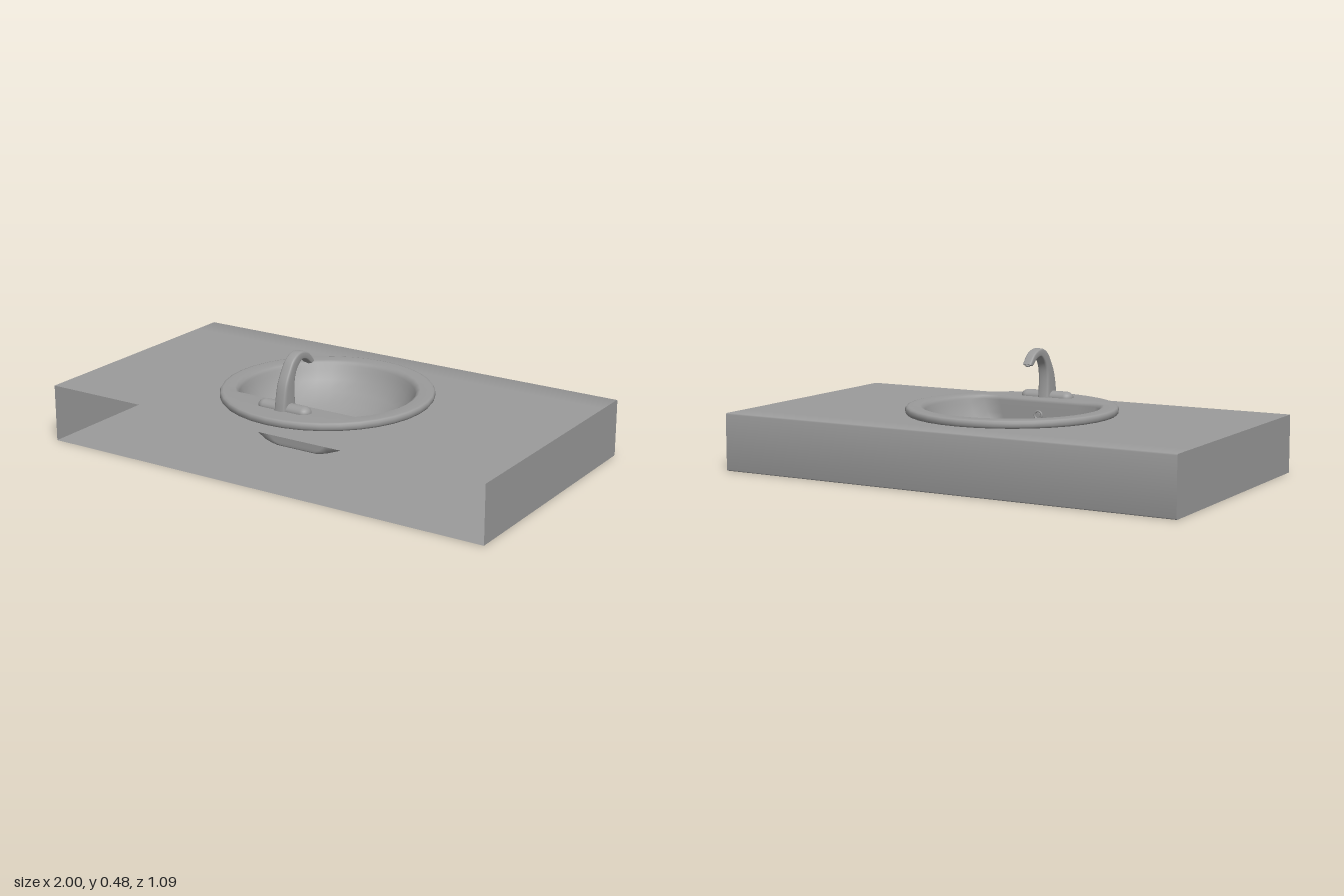
import * as THREE from 'three';

const TOP = 0.237, RIM = 0.268;      // counter height, rim height
const CZ = 0.039, R = 0.433;         // basin centre and outer radius
const CUT = 0.226;                   // straight bowl wall, measured from the centre
const DRAIN_Z = 0.145;
const SEG = 36;

const mat = new THREE.MeshStandardMaterial({ color: 0x9b9b9b, side: THREE.DoubleSide });

function add(parent, name, geometry, x = 0, y = 0, z = 0) {
  const mesh = new THREE.Mesh(geometry, mat);
  mesh.name = name;
  mesh.position.set(x, y, z);
  parent.add(mesh);
  return mesh;
}

// Smooth skin over closed loops of equal length
function loft(loops) {
  const n = loops[0].length, index = [];
  for (let j = 0; j < loops.length - 1; j++) {
    for (let i = 0; i < n; i++) {
      const a = j * n + i, b = j * n + (i + 1) % n;
      index.push(a, a + n, b, b, a + n, b + n);
    }
  }
  const g = new THREE.BufferGeometry().setFromPoints(loops.flat());
  g.setIndex(index);
  g.computeVertexNormals();
  return g;
}

// Circle around the basin centre, optionally cut straight near the tap
function ring(radius, y, cut = Infinity) {
  return Array.from({ length: SEG }, (_, i) => {
    const t = i / SEG * Math.PI * 2;
    const s = Math.sin(t);
    const r = s > 0 ? Math.min(radius, cut / s) : radius;
    return new THREE.Vector3(Math.cos(t) * r, y, CZ + s * r);
  });
}

// Bowl opening shrunk towards the drain; the straight wall has its own scale
function bowlLoop(scale, wallScale, y) {
  return ring(0.36, y, CUT).map(p => {
    const dz = p.z - DRAIN_Z;
    return new THREE.Vector3(p.x * scale, y, DRAIN_Z + dz * (dz > 0 ? wallScale : scale));
  });
}

// Thin cabinet shell, open at the front
function buildCounter() {
  const counter = new THREE.Group();
  counter.name = 'counter';
  const b = 0.005, D = 0.547, S = 0.42;

  const slab = new THREE.Shape([[-1, -D], [1, -D], [1, S], [-1, S]]
    .map(p => new THREE.Vector2(...p)));
  slab.holes.push(new THREE.Path().absarc(0, -CZ, 0.39, 0, Math.PI * 2, true));
  add(counter, 'countertop', new THREE.ShapeGeometry(slab, 18).rotateX(-Math.PI / 2), 0, TOP, 0);
  add(counter, 'bottomPanel', new THREE.PlaneGeometry(2, D + S).rotateX(Math.PI / 2), 0, 0, (D - S) / 2);

  // Back panel wrapping softly onto top and bottom: z, y, then normal y and z
  const profile = [
    [-S, TOP, 1, 0], [-D + b, TOP, 0.95, -0.31], [-D, TOP - b, 0.15, -0.99],
    [-D, b, -0.15, -0.99], [-D + b, 0, -0.95, -0.31], [-S, 0, -1, 0],
  ];
  const back = new THREE.PlaneGeometry(2, 1, 1, profile.length - 1).rotateY(Math.PI);
  const { position, normal } = back.attributes;
  for (let i = 0; i < position.count; i++) {
    const [z, y, ny, nz] = profile[Math.floor(i / 2)];
    position.setXYZ(i, position.getX(i), y, z);
    normal.setXYZ(i, 0, ny, nz);
  }
  add(counter, 'backPanel', back);

  const side = new THREE.Shape([[-D, 0], [D - b, 0], [D, b], [D, TOP - b], [D - b, TOP], [-D, TOP]]
    .map(p => new THREE.Vector2(...p)));
  for (const s of [1, -1]) {
    const panel = add(counter, s > 0 ? 'leftPanel' : 'rightPanel',
      new THREE.ShapeGeometry(side).rotateY(Math.PI / 2), s);
    if (s < 0) {
      panel.geometry.index.array.reverse();
      panel.geometry.computeVertexNormals();
    }
  }
  return counter;
}

function buildBasin() {
  const basin = new THREE.Group();
  basin.name = 'basin';
  const rimLoops = [[0.39, TOP], [R - 0.006, TOP], [R, TOP + 0.008], [R, RIM - 0.01],
    [R - 0.005, RIM - 0.002], [R - 0.014, RIM]].map(([r, y]) => ring(r, y));
  const bowlLoops = [[1, 1, 0.262], [0.985, 0.997, 0.25], [0.965, 0.995, 0.232], [0.92, 0.99, 0.195],
    [0.84, 0.99, 0.155], [0.71, 0.985, 0.115], [0.55, 0.98, 0.088], [0.43, 0.975, 0.078],
    [0.34, 0.96, 0.073], [0.3, 0.85, 0.072], [0, 0, 0.072]].map(p => bowlLoop(...p));
  add(basin, 'rimAndBowl', loft([...rimLoops, ring(0.372, RIM, CUT + 0.01), ...bowlLoops]));

  // Drain collar with a raised stopper
  const flange = [[0.024, 0.002], [0.026, 0.009], [0.033, 0.01], [0.039, 0.006], [0.04, 0]];
  const plug = [[0.012, 0], [0.012, 0.012], [0.026, 0.014], [0.026, 0.018], [0.016, 0.022], [0, 0.023]];
  for (const [name, pts] of [['drainCollar', flange], ['drainStopper', plug]]) {
    add(basin, name, new THREE.LatheGeometry(pts.map(p => new THREE.Vector2(...p)), 20), 0, 0.073, DRAIN_Z);
  }

  // Overflow opening in the straight wall
  add(basin, 'overflowRing', new THREE.TorusGeometry(0.017, 0.004, 8, 18), 0, 0.198, 0.26);
  add(basin, 'overflowCap', new THREE.CylinderGeometry(0.009, 0.009, 0.004, 14).rotateX(Math.PI / 2), 0, 0.198, 0.261);
  return basin;
}

function buildFaucet() {
  const faucet = new THREE.Group();
  faucet.name = 'faucet';

  // Domed base plate
  add(faucet, 'basePlate', new THREE.CapsuleGeometry(0.032, 0.174, 8, 20).rotateZ(Math.PI / 2),
    0, RIM, 0.341).scale.y = 0.8;

  // Curved spout: matching outer and inner edges, joined by rounded sections
  const curve = pts => new THREE.CatmullRomCurve3(pts.map(([z, y]) => new THREE.Vector3(0, y, z)));
  const outer = curve([[0.385, 0.262], [0.378, 0.31], [0.363, 0.37], [0.337, 0.418], [0.305, 0.46],
    [0.258, 0.479], [0.2, 0.463], [0.159, 0.421]]);
  const inner = curve([[0.294, 0.262], [0.299, 0.31], [0.3, 0.36], [0.294, 0.395], [0.28, 0.42],
    [0.25, 0.444], [0.215, 0.437], [0.183, 0.413]]);
  const N = 24, loops = [];
  for (let i = 0; i <= N; i++) {
    const t = i / N, o = outer.getPoint(t), n = inner.getPoint(t);
    const w = 0.027 - 0.007 * t;
    loops.push(Array.from({ length: 20 }, (_, k) => {
      const a = k / 20 * Math.PI * 2, c = Math.cos(a), s = Math.sin(a);
      const x = Math.sign(c) * Math.abs(c) ** 0.45 * w;
      const v = Math.sign(s) * Math.abs(s) ** 0.45;
      return n.clone().lerp(o, (v + 1) / 2).setX(x);
    }));
  }
  add(faucet, 'spout', loft(loops));

  // Flat end of the spout and its nozzle
  const tip = loops[N];
  const mid = outer.getPoint(1).lerp(inner.getPoint(1), 0.5);
  add(faucet, 'spoutEnd', loft([tip, tip.map(() => mid.clone())]));
  const nozzle = add(faucet, 'nozzle', new THREE.CylinderGeometry(0.009, 0.009, 0.01, 14), 0, mid.y - 0.001, mid.z);
  nozzle.rotation.x = 0.32;
  return faucet;
}

export function createModel() {
  const model = new THREE.Group();
  model.name = 'washbasinCounter';
  model.add(buildCounter(), buildBasin(), buildFaucet());
  return model;
}
